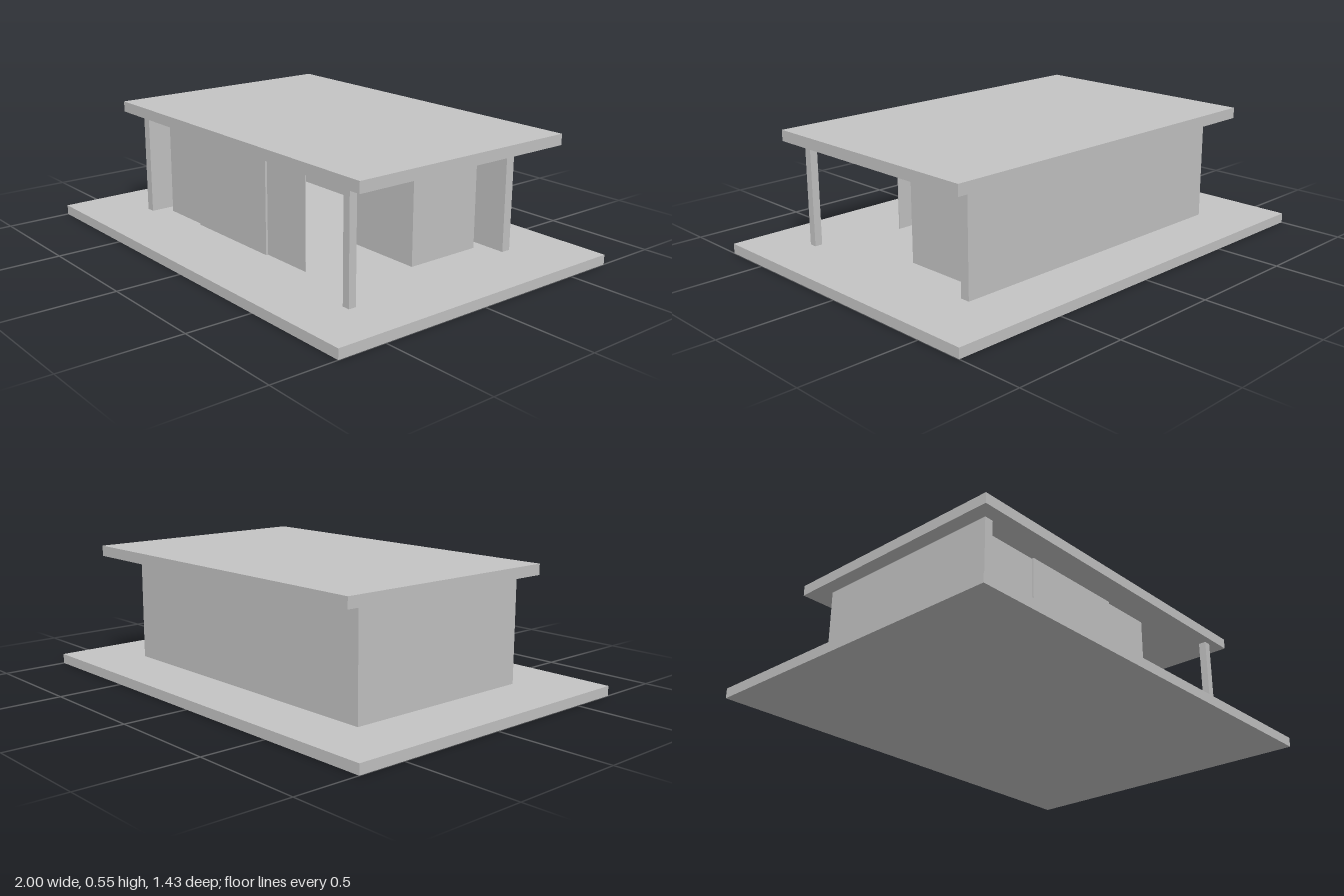
import * as THREE from 'three';

export function createModel() {
  const group = new THREE.Group();
  const concrete = new THREE.MeshStandardMaterial({ color: 0xc4c4c4 });
  concrete.name = 'pale grey';

  const FLOOR = 0.043, CEILING = 0.506;

  // Box given by its extents; walls default to full storey height
  function slab(name, x0, x1, z0, z1, y0 = FLOOR, y1 = CEILING) {
    const mesh = new THREE.Mesh(new THREE.BoxGeometry(x1 - x0, y1 - y0, z1 - z0), concrete);
    mesh.position.set((x0 + x1) / 2, (y0 + y1) / 2, (z0 + z1) / 2);
    mesh.name = name;
    group.add(mesh);
  }

  // Horizontal plates
  slab('basePlate', -1, 1, -0.714, 0.714, 0, FLOOR);
  slab('roof', -0.78, 0.86, -0.565, 0.506, CEILING, 0.553);

  // L-shaped outer walls
  slab('backWall', -0.715, 0.715, -0.451, -0.409);
  slab('sideWall', -0.715, -0.674, -0.409, 0.442);

  // Inner room block and the free-standing corner post
  slab('roomBlock', 0.245, 0.605, -0.352, 0.003);
  slab('cornerPost', 0.739, 0.773, 0.442, 0.476);

  // Front sliding panels: outer pair set behind the middle pair
  const start = -0.615, width = 0.249;
  for (let i = 0; i < 4; i++) {
    const middle = i === 1 || i === 2;
    const x = start + i * width;
    slab('slidingPanel' + (i + 1), x, x + width, middle ? 0.369 : 0.365, middle ? 0.3785 : 0.369);
  }
  return group;
}
